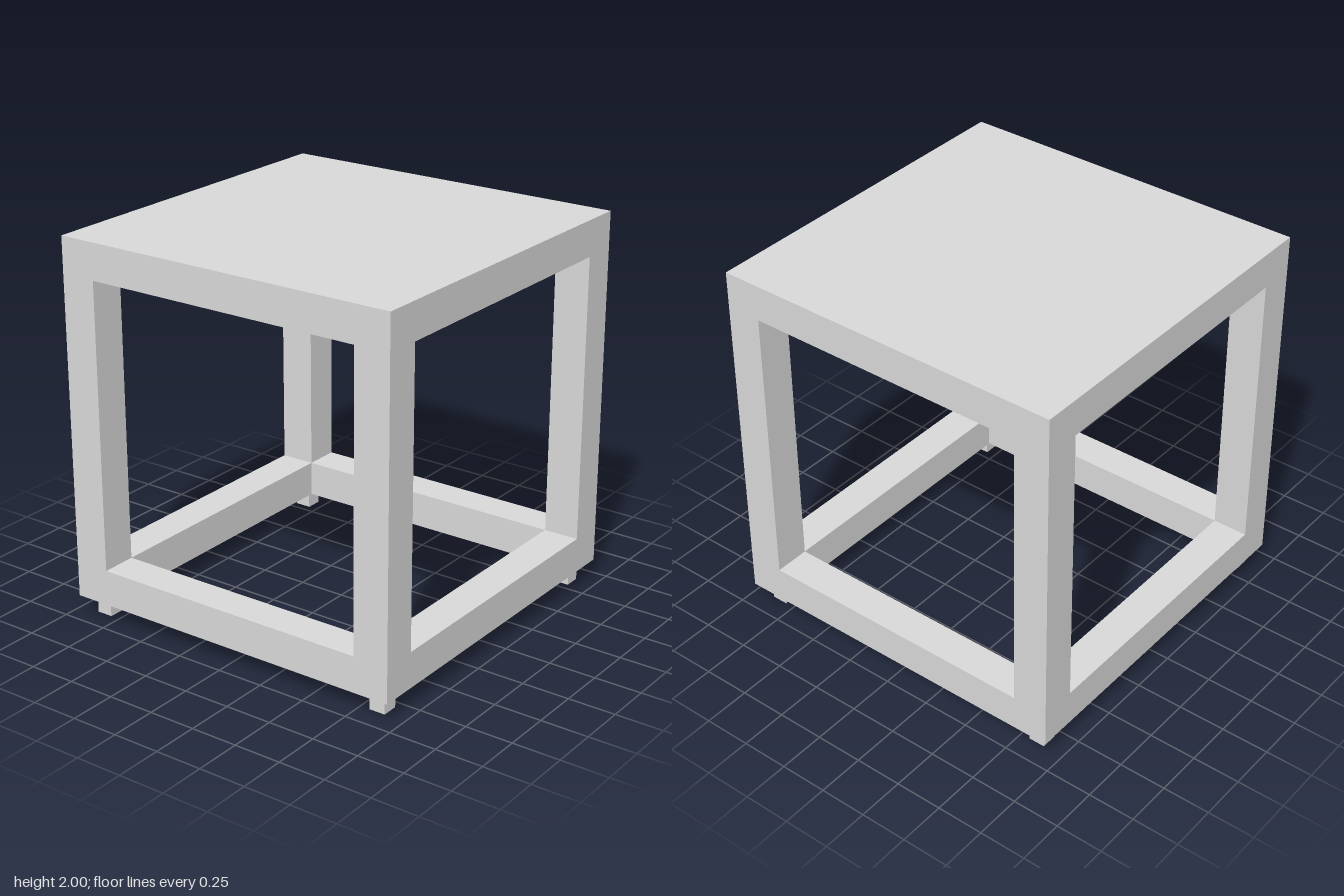
import * as THREE from 'three';

export function createModel() {
  const model = new THREE.Group();
  model.name = 'sideTable';
  const grey = new THREE.MeshStandardMaterial({ color: 0xdadada });
  grey.name = 'grey';

  const unit = 2 / 58;         // total height is 58 units: 55 frame + 3 feet
  const half = 27.5 * unit;    // half of the frame's outer width
  const bar = 5.5 * unit;      // square section of posts and rails
  const bottom = 3 * unit, top = 2;
  const inner = half - bar;
  const mid = half - bar / 2;

  const add = (name, geometry, x, y, z) => {
    const mesh = new THREE.Mesh(geometry, grey);
    mesh.name = name;
    mesh.position.set(x, y, z);
    model.add(mesh);
  };

  // Turns a [half width, height] profile into a square, flat-sided solid
  const squareLathe = (profile) => {
    const points = profile.map(([w, y]) => new THREE.Vector2(w * Math.SQRT2, y));
    const geometry = new THREE.LatheGeometry(points, 4, Math.PI / 4).toNonIndexed();
    geometry.computeVertexNormals();
    return geometry;
  };

  // Table top and its rails as one slab, with a shallow recess underneath
  const rim = top - bar, recess = top - 5 * unit;
  add('tableTop', squareLathe([
    [0, recess], [inner, recess], [inner, rim], [half, rim], [half, top], [0, top],
  ]), 0, 0, 0);

  // Ring of bottom rails
  const railTop = bottom + bar;
  add('bottomRails', squareLathe([
    [inner, bottom], [half, bottom], [half, railTop], [inner, railTop], [inner, bottom],
  ]), 0, 0, 0);

  // Posts, open where they meet the rails, and feet at the four corners
  const postHeight = rim - railTop;
  const post = squareLathe([[bar / 2, -postHeight / 2], [bar / 2, postHeight / 2]]);
  const foot = new THREE.BoxGeometry(2.5 * unit, bottom, 2.5 * unit);
  for (const sx of [-1, 1]) {
    for (const sz of [-1, 1]) {
      const corner = (sz > 0 ? 'front' : 'back') + (sx > 0 ? 'Left' : 'Right');
      add(corner + 'Post', post, sx * mid, (rim + railTop) / 2, sz * mid);
      add(corner + 'Foot', foot, sx * 24.5 * unit, bottom / 2, sz * 24.25 * unit);
    }
  }

  return model;
}
